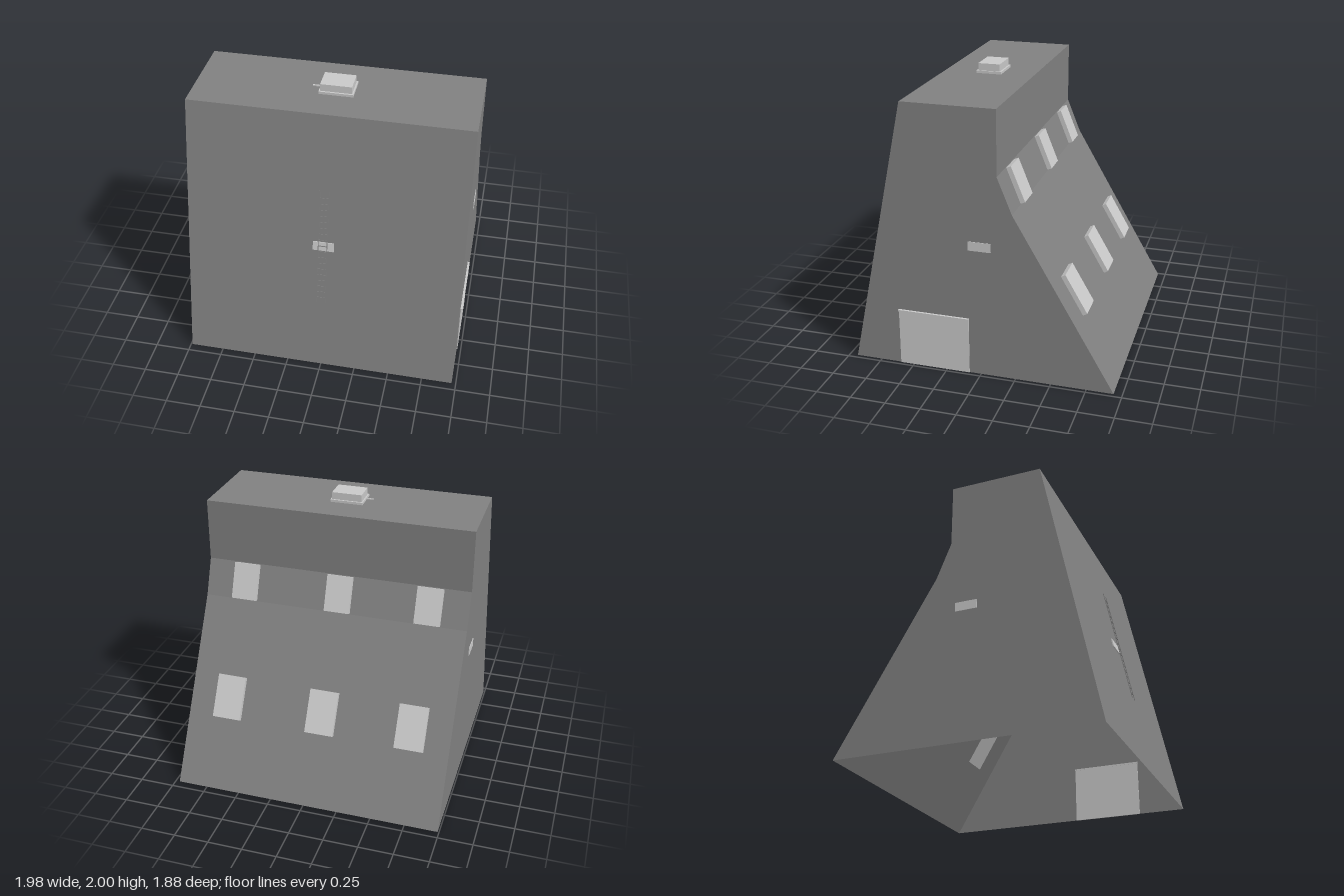
import * as THREE from 'three';

const CX = -0.01, WIDTH = 1.96;
// Side profile as [z, y], from the front foot over the roof to the back foot
const PROFILE = [[0.94, 0], [0.535, 1.93], [-0.125, 1.93], [-0.125, 1.475], [-0.228, 1.22], [-0.94, 0]];

export function createModel() {
  const model = new THREE.Group();
  const wallGrey = new THREE.MeshStandardMaterial({ color: 0x808080, side: THREE.DoubleSide });
  wallGrey.name = 'wallGrey';
  const paleGrey = new THREE.MeshStandardMaterial({ color: 0xc8c8c8 });
  paleGrey.name = 'paleGrey';

  const add = (parent, name, geometry, material, x, y, z) => {
    const mesh = new THREE.Mesh(geometry, material);
    mesh.name = name;
    mesh.position.set(x, y, z);
    parent.add(mesh);
    return mesh;
  };
  const box = (parent, name, size, pos, material) =>
    add(parent, name, new THREE.BoxGeometry(...size), material, ...pos);

  // Midpoint, length and outward normal of one profile segment
  const segment = (i) => {
    const [z0, y0] = PROFILE[i], [z1, y1] = PROFILE[i + 1];
    const length = Math.hypot(z1 - z0, y1 - y0);
    const normal = new THREE.Vector3(0, (z0 - z1) / length, (y1 - y0) / length);
    const at = (t) => new THREE.Vector3(0, y0 + (y1 - y0) * t, z0 + (z1 - z0) * t);
    return { length, normal, at };
  };
  const face = (object, normal) => object.lookAt(object.position.clone().add(normal));

  // Shell: one panel per profile segment, open underneath
  const names = ['frontWall', 'flatRoof', 'upperBackWall', 'upperBackSlope', 'lowerBackSlope'];
  names.forEach((name, i) => {
    const { length, normal, at } = segment(i);
    const p = at(0.5);
    face(add(model, name, new THREE.PlaneGeometry(WIDTH, length), wallGrey, CX, p.y, p.z), normal);
  });

  // Side walls
  const outline = new THREE.Shape(PROFILE.map(([z, y]) => new THREE.Vector2(-z, y)));
  for (const side of [1, -1]) {
    const wall = add(model, side > 0 ? 'leftWall' : 'rightWall', new THREE.ShapeGeometry(outline),
      wallGrey, CX + side * WIDTH / 2, 0, 0);
    wall.rotation.y = Math.PI / 2;
    box(model, 'sideWindow', [0.008, 0.065, 0.16], [CX + side * WIDTH / 2, 0.968, 0], paleGrey);
  }

  // Windows lying on a sloped panel
  const slopeWindow = (name, i, t, x, width, length, depth) => {
    const { normal, at } = segment(i);
    const p = at(t).addScaledVector(normal, depth / 2);
    face(box(model, name, [width, length, depth], [x, p.y, p.z], paleGrey), normal);
  };
  slopeWindow('frontWindow', 0, 0.502, CX, 0.15, 0.066, 0.008);
  for (const x of [-0.705, -0.043, 0.668]) {
    slopeWindow('upperSkylight', 3, 0.5, x, 0.187, 0.265, 0.034);
    slopeWindow('lowerSkylight', 4, 0.515, x, 0.21, 0.315, 0.034);
  }

  // Garage door with a small ledge above
  box(model, 'garageDoor', [0.008, 0.41, 0.515], [0.971, 0.205, 0.342], paleGrey);
  box(model, 'doorLedge', [0.02, 0.012, 0.52], [0.976, 0.416, 0.342], paleGrey);

  // Roof hatch
  const hatch = new THREE.Group();
  hatch.name = 'roofHatch';
  box(hatch, 'hatchBase', [0.24, 0.018, 0.185], [-0.01, 1.939, 0.2], paleGrey);
  box(hatch, 'hatchLid', [0.22, 0.055, 0.16], [-0.01, 1.9725, 0.2], paleGrey);
  box(hatch, 'hatchHandle', [0.06, 0.008, 0.01], [-0.155, 1.943, 0.21], paleGrey);
  model.add(hatch);

  // Ladder leaning parallel to the front wall
  const ladder = new THREE.Group();
  ladder.name = 'ladder';
  ladder.position.set(-0.011, 0.9725, 0.765);
  const ladderLength = 0.883, rungs = 18;
  for (const s of [1, -1])
    box(ladder, 'ladderRail', [0.005, ladderLength, 0.005], [s * 0.031, 0, 0], wallGrey);
  for (let i = 0; i < rungs; i++)
    box(ladder, 'ladderRung', [0.062, 0.005, 0.004], [0, -0.4 + i * 0.0463, 0], wallGrey);
  face(ladder, segment(0).normal);
  model.add(ladder);

  return model;
}
